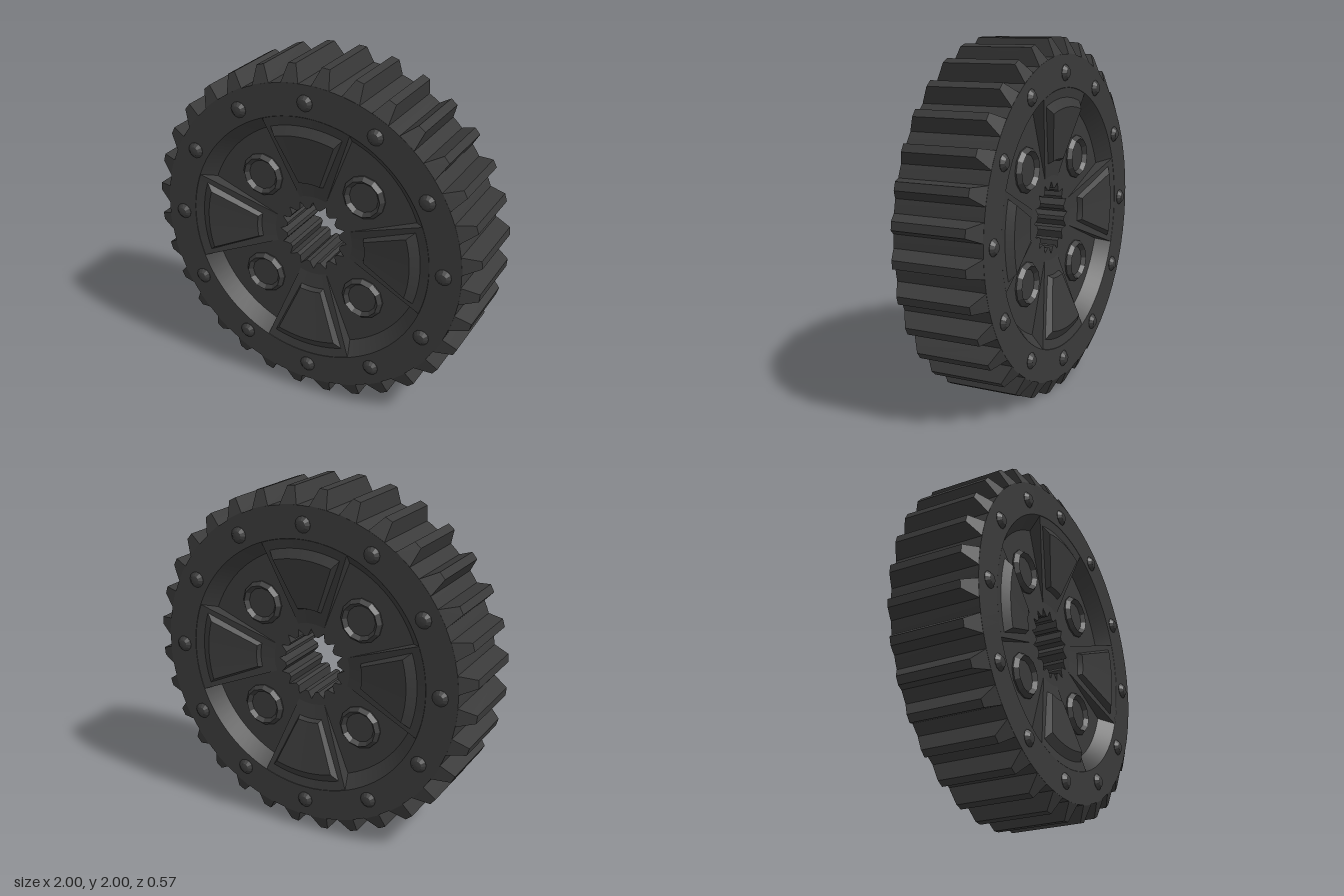
import * as THREE from 'three';
import { toCreasedNormals } from 'three/addons/utils/BufferGeometryUtils.js';

const steel = new THREE.MeshStandardMaterial({ color: 0x3a3a3a });
steel.name = 'dark steel';

const TEETH = 32, SPLINES = 16;
const WEB = 0.18; // half thickness of the recessed web
const lerp = THREE.MathUtils.lerp;

function part(name, geometry, parent) {
  const mesh = new THREE.Mesh(geometry, steel);
  mesh.name = name;
  parent.add(mesh);
  return mesh;
}

// Solid of revolution about the z axis
function turned(points, segments) {
  const g = new THREE.LatheGeometry(points.map(p => new THREE.Vector2(...p)), segments);
  return toCreasedNormals(g.rotateX(Math.PI / 2), 0.35);
}

// Move every corner of a box by a rule, then crease the edges
function reshaped(box, rule) {
  const p = box.attributes.position;
  for (let i = 0; i < p.count; i++) {
    p.setXYZ(i, ...rule(p.getX(i), p.getY(i), p.getZ(i)));
  }
  return toCreasedNormals(box, 0.3);
}

// Ring sector; each layer holds [radius, half angle, z] at its inner and outer end
function sector(bottom, top) {
  return reshaped(new THREE.BoxGeometry(1, 1, 1, 10, 1, 1), (x, y, z) => {
    const [inner, outer] = z > 0 ? top : bottom;
    const v = y + 0.5;
    const r = lerp(inner[0], outer[0], v);
    const a = 2 * x * lerp(inner[1], outer[1], v);
    return [r * Math.sin(a), r * Math.cos(a), lerp(inner[2], outer[2], v)];
  });
}

// Tooth narrowing to its tip, with chamfered ends
function toothGeometry() {
  const levels = [[0.88, 0.06, 0.259], [0.912, 0.051, 0.259], [1.002, 0.023, 0.212]];
  return reshaped(new THREE.BoxGeometry(1, 1, 1, 1, 2, 1), (x, y, z) => {
    const [r, w, d] = levels[Math.round((y + 0.5) * 2)];
    return [Math.sign(x) * w, r, Math.sign(z) * d];
  });
}

// Hub sleeve with a splined bore
function hubGeometry() {
  const shape = new THREE.Shape().absarc(0, 0, 0.24, 0, Math.PI * 2);
  const bore = [];
  const step = Math.PI * 2 / SPLINES;
  for (let i = 0; i < SPLINES; i++) {
    for (const [r, t] of [[0.208, 0], [0.168, 0.33], [0.168, 0.67]]) {
      const a = (i + t) * step;
      bore.push(new THREE.Vector2(r * Math.cos(a), r * Math.sin(a)));
    }
  }
  shape.holes.push(new THREE.Path(bore));
  const g = new THREE.ExtrudeGeometry(shape, { depth: 2 * WEB, bevelEnabled: false, curveSegments: 32 });
  return g.translate(0, 0, -WEB);
}

export function createModel() {
  const model = new THREE.Group();
  model.name = 'gear';
  const wheel = new THREE.Group();
  wheel.name = 'wheel';
  wheel.position.y = 1;
  model.add(wheel);

  // Thick rim around a recessed flat web
  part('rimAndWeb', turned([
    [0.239, -WEB], [0.66, -WEB], [0.73, -0.26], [0.91, -0.26],
    [0.91, 0.26], [0.73, 0.26], [0.66, WEB], [0.239, WEB],
  ], 96), wheel);
  part('splinedHub', hubGeometry(), wheel);

  // Outer teeth
  const tooth = toothGeometry();
  for (let i = 0; i < TEETH; i++) {
    part('tooth', tooth, wheel).rotation.z = (i + 0.5) * Math.PI * 2 / TEETH;
  }

  // Spokes slope from the rim down to the hub and carry raised panels
  const spoke = sector(
    [[0.24, 0.35, 0], [0.728, 0.365, 0]],
    [[0.24, 0.35, WEB], [0.728, 0.365, 0.259]]);
  const panel = sector(
    [[0.32, 0.23, 0.185], [0.68, 0.325, 0.248]],
    [[0.335, 0.19, 0.222], [0.625, 0.288, 0.278]]);
  // Bosses are low rings around a shallow seat
  const boss = turned([
    [0.125, 0.15], [0.125, 0.188], [0.105, 0.212], [0.085, 0.188], [0, 0.188],
  ], 12);
  const rivet = turned([[0.046, 0.25], [0.046, 0.262], [0.026, 0.281], [0, 0.286]], 12);

  // Both faces carry the same details
  for (const turn of [0, Math.PI]) {
    const face = new THREE.Group();
    face.name = turn ? 'backFace' : 'frontFace';
    face.rotation.y = turn;
    wheel.add(face);

    for (let i = 0; i < 4; i++) {
      const a = i * Math.PI / 2;
      part('spoke', spoke, face).rotation.z = a;
      part('raisedPanel', panel, face).rotation.z = a;
      const b = a + Math.PI / 4;
      part('boss', boss, face).position.set(0.44 * Math.cos(b), 0.44 * Math.sin(b), 0);
    }
    for (let i = 0; i < 12; i++) {
      const a = i * Math.PI / 6;
      part('rivet', rivet, face).position.set(0.81 * Math.cos(a), 0.81 * Math.sin(a), 0);
    }
  }
  return model;
}
